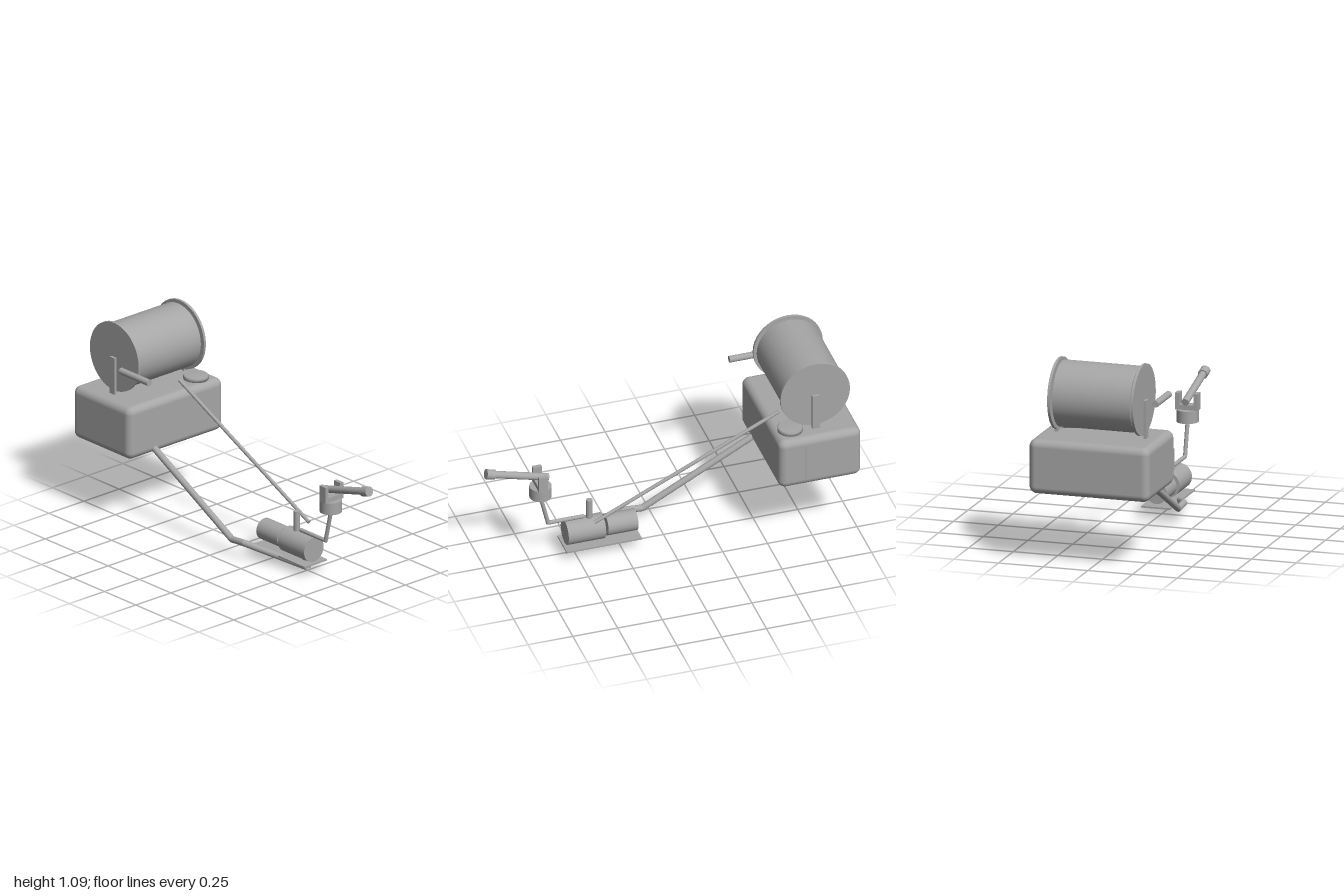
import * as THREE from 'three';
import { RoundedBoxGeometry } from 'three/addons/geometries/RoundedBoxGeometry.js';

export function createModel() {
  const model = new THREE.Group();
  const gray = new THREE.MeshStandardMaterial({ color: 0xa6a6a6 });
  gray.name = 'gray';
  const v = (x, y, z) => new THREE.Vector3(x, y, z);

  function add(name, geometry, x = 0, y = 0, z = 0, parent = model) {
    const mesh = new THREE.Mesh(geometry, gray);
    mesh.name = name;
    mesh.position.set(x, y, z);
    parent.add(mesh);
    return mesh;
  }
  const box = (name, w, h, d, x, y, z, parent) => add(name, new THREE.BoxGeometry(w, h, d), x, y, z, parent);

  // Cylinder running between two points
  function rod(name, a, b, r, parent = model) {
    const dir = b.clone().sub(a);
    const mid = a.clone().add(b).multiplyScalar(0.5);
    const mesh = add(name, new THREE.CylinderGeometry(r, r, dir.length(), 40), mid.x, mid.y, mid.z, parent);
    mesh.quaternion.setFromUnitVectors(v(0, 1, 0), dir.normalize());
    return mesh;
  }

  // Pipe through several points with ball elbows
  function pipe(name, points, r) {
    const group = new THREE.Group();
    group.name = name;
    model.add(group);
    points.slice(1).forEach((p, i) => {
      rod(name + 'Segment', points[i], p, r, group);
      if (i < points.length - 2) add(name + 'Elbow', new THREE.SphereGeometry(r, 24, 16), p.x, p.y, p.z, group);
    });
  }

  // Tank, filler cap and level gauge
  add('tank', new RoundedBoxGeometry(0.46, 0.298, 0.674, 6, 0.04), -0.77, 0.547, 0);
  const capProfile = [[0, 0], [0.068, 0], [0.068, 0.018], [0.062, 0.024], [0, 0.024]];
  add('fillerCap', new THREE.LatheGeometry(capProfile.map(p => new THREE.Vector2(...p)), 40), -0.635, 0.694, -0.222);
  rod('levelGauge', v(-0.69, 0.44, -0.33), v(-0.69, 0.65, -0.33), 0.01);

  // Hose reel with flanges and brackets
  const rx = -0.77, ry = 0.906;
  rod('reelDrum', v(rx, ry, -0.217), v(rx, ry, 0.217), 0.179);
  rod('reelHub', v(rx, ry, -0.228), v(rx, ry, 0.228), 0.106);
  for (const s of [-1, 1]) {
    rod('reelFlange', v(rx, ry, s * 0.226), v(rx, ry, s * 0.24), 0.194);
    box('reelBracket', 0.04, 0.212, 0.015, rx, 0.799, s * 0.248);
  }
  rod('crankHandle', v(-0.68, 0.861, 0.272), v(-0.455, 0.861, 0.272), 0.018);

  // Suction pipe, return line and riser
  pipe('suctionPipe', [v(-0.56, 0.43, 0.152), v(0.07, 0.092, 0.152), v(0.165, 0.1, 0.152), v(0.493, 0.023, 0)], 0.018);
  rod('pumpInlet', v(0.495, 0.022, 0), v(0.495, 0.08, 0), 0.022);
  rod('returnLine', v(-0.615, 0.727, -0.088), v(0.415, 0.231, -0.088), 0.01);
  pipe('outletPipe', [v(0.445, 0.221, 0), v(0.645, 0.221, 0), v(0.69, 0.412, 0)], 0.011);

  // Pump and motor on a base plate
  box('basePlate', 0.42, 0.009, 0.162, 0.356, 0.063, 0);
  rod('motor', v(0.158, 0.14, 0), v(0.325, 0.14, 0), 0.059);
  rod('pump', v(0.342, 0.14, 0), v(0.551, 0.14, 0), 0.07);
  rod('pumpPort', v(0.415, 0.16, 0), v(0.415, 0.321, 0), 0.017);

  // Swivel with forked yoke
  rod('swivel', v(0.687, 0.404, 0), v(0.687, 0.471, 0), 0.06);
  box('yokeBase', 0.05, 0.028, 0.126, 0.69, 0.484, 0);
  for (const s of [-1, 1]) box('yokeArm', 0.05, 0.092, 0.022, 0.69, 0.516, s * 0.052);

  // Spray gun
  rod('barrel', v(0.645, 0.518, 0), v(0.96, 0.602, 0), 0.02);
  rod('nozzle', v(0.943, 0.597, 0), v(0.992, 0.61, 0), 0.027);

  return model;
}
